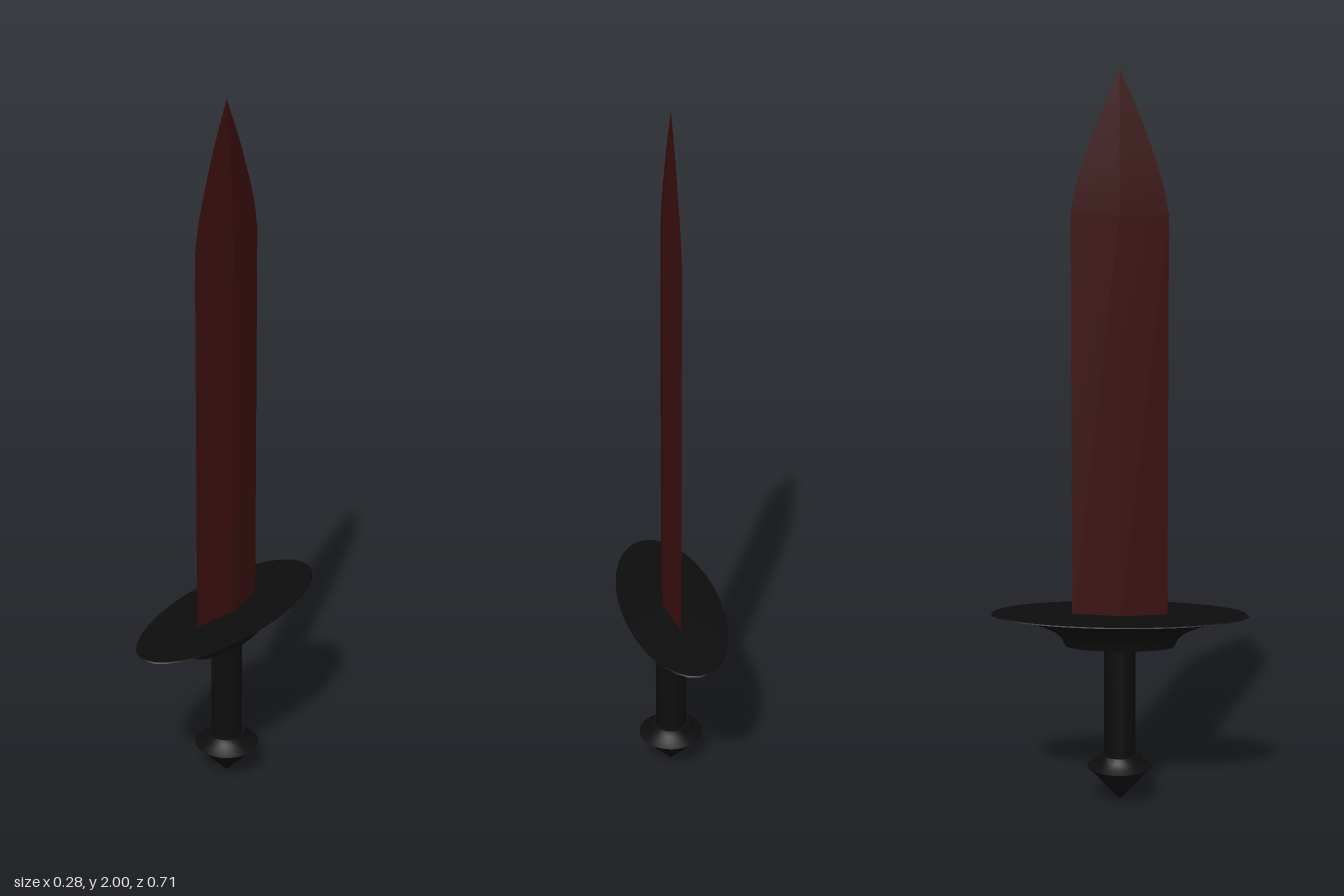
import * as THREE from 'three';
import { toCreasedNormals } from 'three/addons/utils/BufferGeometryUtils.js';

const dark = new THREE.MeshStandardMaterial({ color: 0x0d0d0d });
const red = new THREE.MeshStandardMaterial({ color: 0x3a0e0e });

// Turned part from [radius, y] points listed bottom to top
function turned(name, points, scaleX = 1) {
  const profile = points.map(([r, y]) => new THREE.Vector2(r, y));
  const geometry = new THREE.LatheGeometry(profile, 32);
  geometry.scale(scaleX, 1, 1);
  const mesh = new THREE.Mesh(toCreasedNormals(geometry, 0.6), dark);
  mesh.name = name;
  return mesh;
}

// Diamond-section blade lofted through [half width, y] rows, ending in a point
function makeBlade() {
  const thickness = 0.17; // half thickness relative to half width
  const rows = [[0.13, 0.5], [0.13, 1.62]];
  const tip = new THREE.CatmullRomCurve3([[0.13, 1.62], [0.115, 1.7], [0.083, 1.8], [0.045, 1.9], [0, 2]]
    .map(([w, y]) => new THREE.Vector3(w, y, 0)));
  for (let i = 1; i <= 12; i++) {
    const p = tip.getPoint(i / 12);
    rows.push([i === 12 ? 0 : p.x, p.y]);
  }
  const positions = [];
  const index = [];
  rows.forEach(([w, y], r) => {
    const t = w * thickness;
    positions.push(t, y, 0, 0, y, -w, -t, y, 0, 0, y, w);
    if (r === 0) return;
    for (let k = 0; k < 4; k++) {
      const a = (r - 1) * 4 + k;
      const b = (r - 1) * 4 + (k + 1) % 4;
      index.push(a, b, b + 4);
      if (w > 0) index.push(a, b + 4, a + 4);
    }
  });
  index.push(0, 2, 1, 0, 3, 2); // base cap
  const geometry = new THREE.BufferGeometry();
  geometry.setAttribute('position', new THREE.Float32BufferAttribute(positions, 3));
  geometry.setIndex(index);
  const mesh = new THREE.Mesh(toCreasedNormals(geometry, 0.25), red);
  mesh.name = 'blade';
  return mesh;
}

export function createModel() {
  const group = new THREE.Group();
  group.name = 'sword';
  group.add(makeBlade());
  // Oval guard flaring up to a thin rim
  group.add(turned('guard', [
    [0, 0.44], [0.15, 0.44], [0.16, 0.463], [0.18, 0.48], [0.217, 0.497],
    [0.26, 0.51], [0.31, 0.52], [0.353, 0.527], [0.35, 0.53], [0, 0.53],
  ], 0.4));
  group.add(turned('grip', [[0, 0.11], [0.043, 0.11], [0.043, 0.45], [0, 0.45]]));
  // Pointed pommel with a small collar
  group.add(turned('pommel', [
    [0, 0], [0.024, 0.027], [0.05, 0.054], [0.07, 0.078], [0.09, 0.097],
    [0.072, 0.107], [0.06, 0.118], [0.053, 0.132], [0, 0.132],
  ]));
  return group;
}
